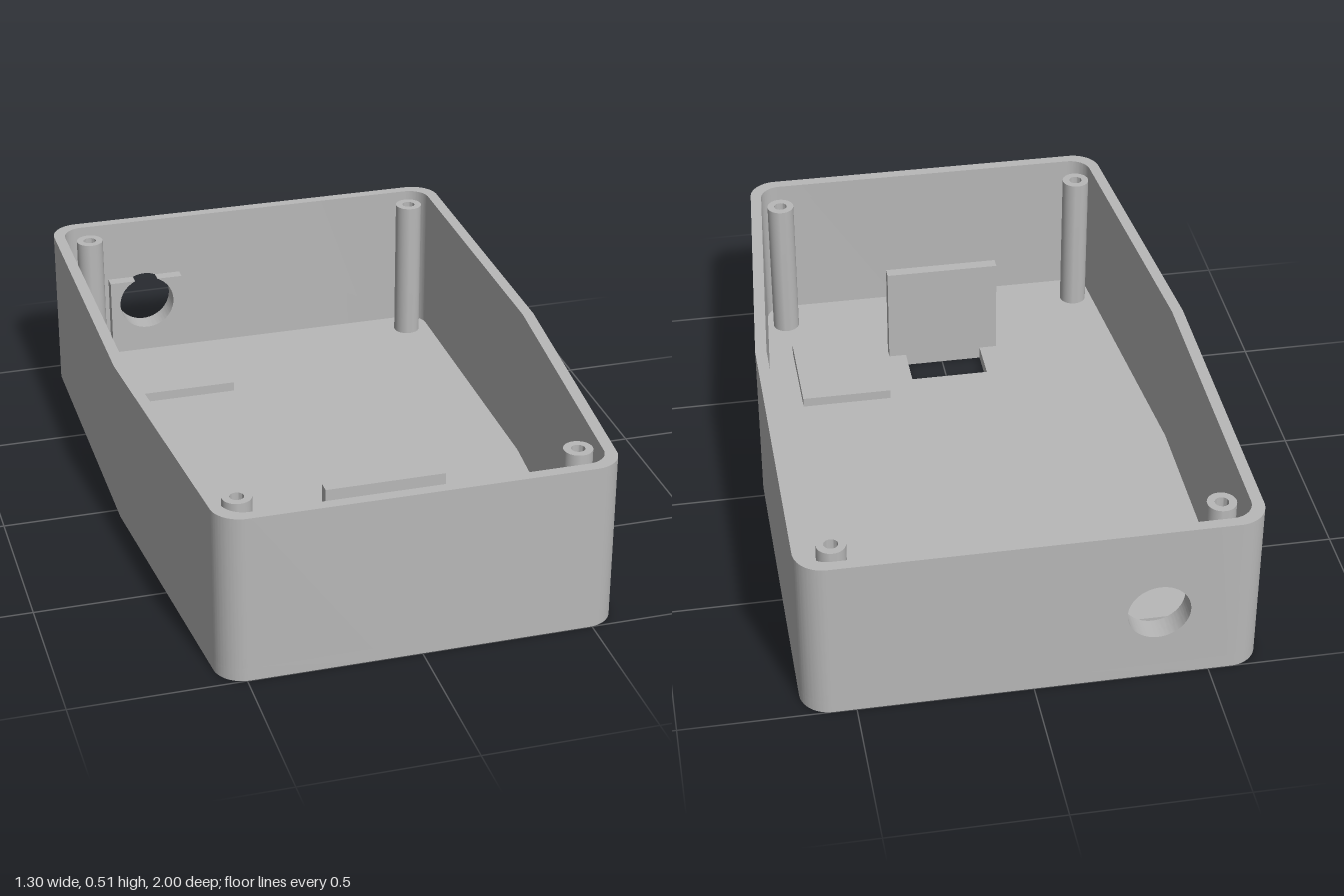
import * as THREE from 'three';
import { toCreasedNormals } from 'three/addons/utils/BufferGeometryUtils.js';

const H = 0.51, FLOOR = 0.04, R = 0.085, RI = 0.065;
const INNER_BACK = -0.967;

// Shape from [x, y, radius] corners; corners with a radius become fine arcs
function roundedShape(corners, segs = 24) {
  const pts = [];
  corners.forEach(([x, y, r], i) => {
    const p = new THREE.Vector2(x, y);
    if (!r) { pts.push(p); return; }
    const n = corners.length;
    const toward = (c) => new THREE.Vector2(c[0], c[1]).sub(p).normalize();
    const a = toward(corners[(i + n - 1) % n]), b = toward(corners[(i + 1) % n]);
    const half = Math.acos(a.dot(b)) / 2;
    const centre = p.clone().addScaledVector(a.clone().add(b).normalize(), r / Math.sin(half));
    const t = r / Math.tan(half);
    const from = p.clone().addScaledVector(a, t).sub(centre).angle();
    let sweep = p.clone().addScaledVector(b, t).sub(centre).angle() - from;
    if (sweep > Math.PI) sweep -= 2 * Math.PI;
    if (sweep < -Math.PI) sweep += 2 * Math.PI;
    for (let k = 0; k <= segs; k++) {
      const ang = from + sweep * k / segs;
      pts.push(new THREE.Vector2(centre.x + r * Math.cos(ang), centre.y + r * Math.sin(ang)));
    }
  });
  return new THREE.Shape(pts);
}

function extrude(shape, depth, curveSegments = 48) {
  return new THREE.ExtrudeGeometry(shape, { depth, bevelEnabled: false, curveSegments });
}

// Plan shape (x, z) extruded upward from y0 to y1
function upright(shape, y0, y1) {
  const g = extrude(shape, y1 - y0);
  g.rotateX(Math.PI / 2);
  g.translate(0, y1, 0);
  return toCreasedNormals(g, 0.08);
}

export function createModel() {
  const group = new THREE.Group();
  const grey = new THREE.MeshStandardMaterial({ color: 0xb8b8b8 });
  grey.name = 'grey plastic';

  const add = (name, geometry) => {
    const mesh = new THREE.Mesh(geometry, grey);
    mesh.name = name;
    group.add(mesh);
    return mesh;
  };
  const addBox = (name, x0, x1, y0, y1, z0, z1) => {
    add(name, new THREE.BoxGeometry(x1 - x0, y1 - y0, z1 - z0))
      .position.set((x0 + x1) / 2, (y0 + y1) / 2, (z0 + z1) / 2);
  };

  // Tapered outline, running from back right round the front to back left
  const outer = [
    [-0.652, -1, R], [-0.652, 0.04, 0], [-0.57, 1, R],
    [0.57, 1, R], [0.652, 0.04, 0], [0.652, -1, R],
  ];
  const inner = [
    [-0.618, INNER_BACK, RI], [-0.618, 0.04, 0], [-0.539, 0.966, RI],
    [0.539, 0.966, RI], [0.618, 0.04, 0], [0.618, INNER_BACK, RI],
  ];

  // Floor with a rectangular window
  const floorShape = roundedShape(outer);
  floorShape.holes.push(new THREE.Path([
    new THREE.Vector2(-0.125, 0.475), new THREE.Vector2(0.12, 0.475),
    new THREE.Vector2(0.12, 0.615), new THREE.Vector2(-0.125, 0.615),
  ]));
  add('floor', upright(floorShape, 0, FLOOR));

  // Walls, left open at the back where the pierced panel fits
  const L = -0.47, P = -0.23;
  const wallShape = roundedShape([
    [L, -1, 0], ...outer, [P, -1, 0],
    [P, INNER_BACK, 0], ...inner.slice().reverse(), [L, INNER_BACK, 0],
  ]);
  add('walls', upright(wallShape, FLOOR, H));

  // Back panel with the round socket hole
  const cx = (L + P) / 2, cy = 0.23, r = 0.09;
  const panel = new THREE.Shape([
    new THREE.Vector2(L, FLOOR), new THREE.Vector2(P, FLOOR),
    new THREE.Vector2(P, H), new THREE.Vector2(L, H),
  ]);
  const socket = new THREE.Path();
  socket.absarc(cx, cy, r, 0, Math.PI * 2, true);
  panel.holes.push(socket);
  const panelGeo = extrude(panel, 1 + INNER_BACK);
  panelGeo.translate(0, 0, -1);
  add('socketPanel', toCreasedNormals(panelGeo, 0.4));

  // Socket mount inside, its top edge broken by the hole
  const chord = 0.0375;
  const rise = Math.sqrt(r * r - chord * chord);
  const a0 = Math.atan2(rise, chord), top = cy + rise;
  const mount = new THREE.Shape();
  mount.moveTo(L, top - 0.24);
  mount.lineTo(P, top - 0.24);
  mount.lineTo(P, top);
  mount.lineTo(cx + chord, top);
  mount.absarc(cx, cy, r, a0, Math.PI - a0, true);
  mount.lineTo(L, top);
  const mountGeo = extrude(mount, 0.037);
  mountGeo.translate(0, 0, INNER_BACK);
  add('socketMount', toCreasedNormals(mountGeo, 0.4));

  // Raised pads and the upright plate beside the window
  addBox('backPad', -0.565, -0.14, FLOOR, 0.07, -0.84, -0.59);
  addBox('frontPad', 0.205, 0.485, FLOOR, 0.07, 0.385, 0.69);
  addBox('uprightPlate', -0.18, 0.175, FLOOR, 0.355, 0.615, 0.65);

  // Screw posts with blind holes
  const postTop = 0.5, holeBottom = 0.38;
  const profile = [
    [0.042, FLOOR], [0.042, postTop], [0.02, postTop], [0.02, holeBottom], [0, holeBottom],
  ].map(([x, y]) => new THREE.Vector2(x, y));
  const postGeo = toCreasedNormals(new THREE.LatheGeometry(profile, 32), 0.5);
  for (const side of [-1, 1]) {
    add('backPost', postGeo).position.set(side * 0.542, 0, -0.88);
    add('frontPost', postGeo).position.set(side * 0.487, 0, 0.86);
  }
  return group;
}
